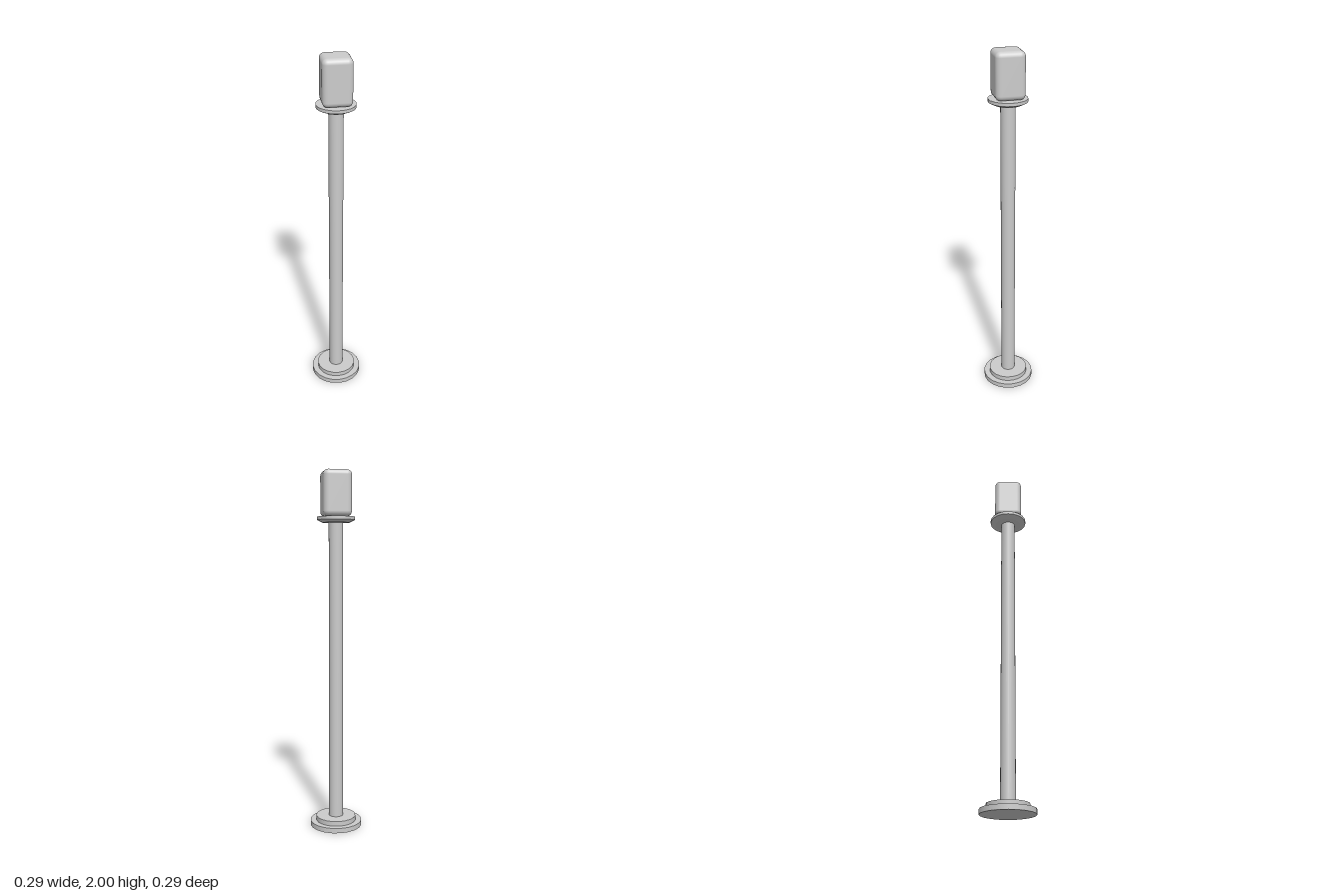
import * as THREE from 'three';
import { RoundedBoxGeometry } from 'three/addons/geometries/RoundedBoxGeometry.js';

export function createModel() {
  const group = new THREE.Group();
  const material = new THREE.MeshStandardMaterial({ color: 0xcccccc });

  const add = (name, geometry, y) => {
    const mesh = new THREE.Mesh(geometry, material);
    mesh.name = name;
    mesh.position.y = y;
    group.add(mesh);
  };
  // Round part standing between two heights
  const disc = (name, rTop, rBottom, y0, y1, open = false) =>
    add(name, new THREE.CylinderGeometry(rTop, rBottom, y1 - y0, 20, 1, open), (y0 + y1) / 2);

  // Stepped foot
  disc('basePlate', 0.147, 0.147, 0, 0.028);
  disc('baseStep', 0.113, 0.113, 0.028, 0.055);

  // Post
  disc('pole', 0.04, 0.04, 0.055, 1.722);

  // Collar with a tapered underside
  disc('collarTaper', 0.105, 0.075, 1.72, 1.735);
  disc('collarRim', 0.105, 0.105, 1.735, 1.752);

  // Rounded block on top
  add('head', new RoundedBoxGeometry(0.157, 0.248, 0.157, 3, 0.028), 1.876);

  return group;
}
